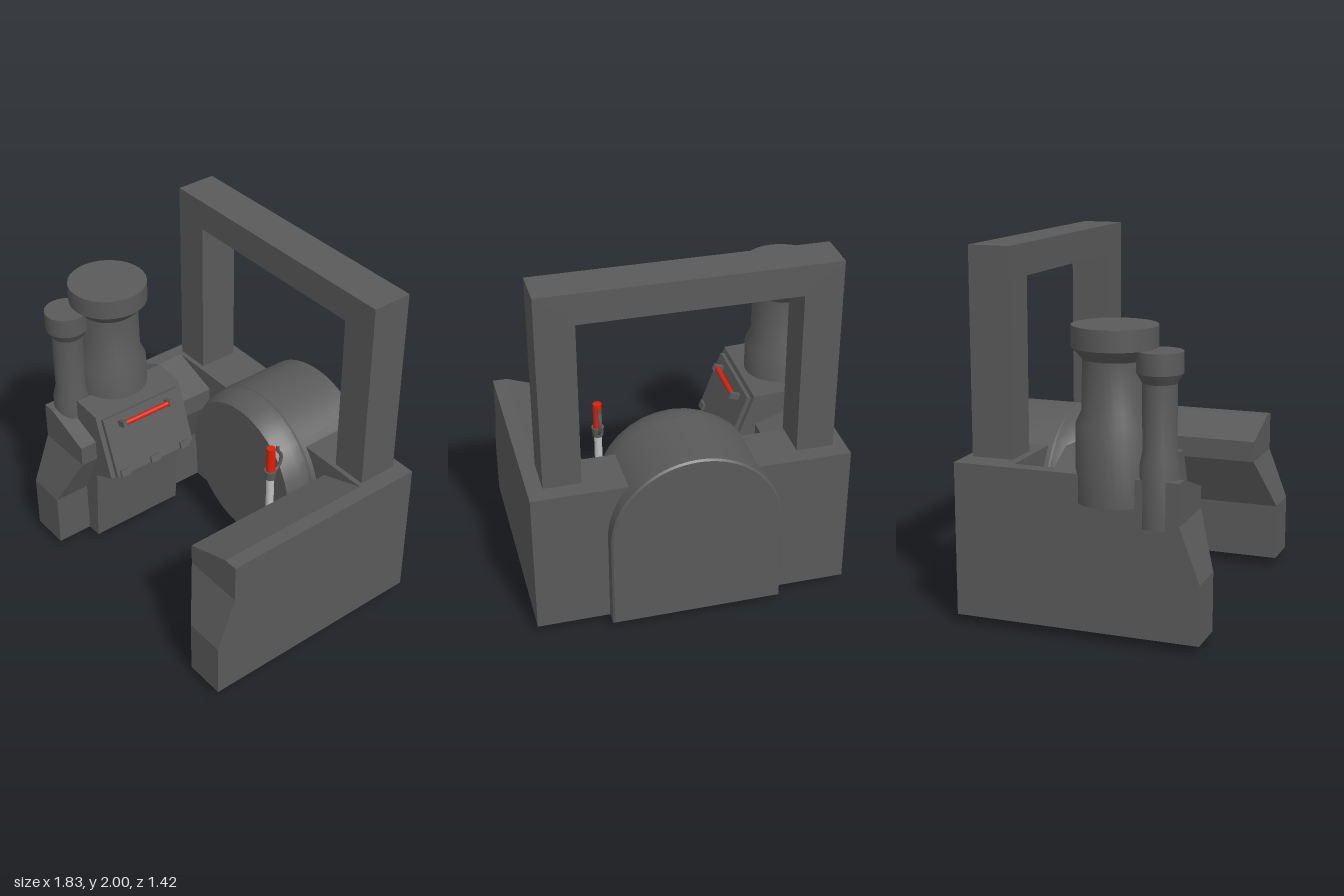
import * as THREE from 'three';
import { toCreasedNormals } from 'three/addons/utils/BufferGeometryUtils.js';

export function createModel() {
  const model = new THREE.Group();
  const dark = new THREE.MeshStandardMaterial({ color: 0x5a5a5a });
  dark.name = 'dark grey';
  const red = new THREE.MeshStandardMaterial({ color: 0xdc200a });
  red.name = 'red';
  const steel = new THREE.MeshStandardMaterial({ color: 0xc0c0c0 });
  steel.name = 'light steel';

  const add = (name, geometry, material = dark, parent = model) => {
    const mesh = new THREE.Mesh(geometry, material);
    mesh.name = name;
    parent.add(mesh);
    return mesh;
  };
  // box given by its extents
  const box = (name, x0, x1, y0, y1, z0, z1, material = dark, parent = model) =>
    add(name, new THREE.BoxGeometry(x1 - x0, y1 - y0, z1 - z0)
      .translate((x0 + x1) / 2, (y0 + y1) / 2, (z0 + z1) / 2), material, parent);
  const vec = (pts) => pts.map(([x, y]) => new THREE.Vector2(x, y));
  // outline in x/y drawn out from z0 to z1
  const prism = (pts, z0, z1) => new THREE.ExtrudeGeometry(new THREE.Shape(vec(pts)),
    { depth: z1 - z0, bevelEnabled: false }).translate(0, 0, z0);
  const lathe = (pts, sides) => toCreasedNormals(new THREE.LatheGeometry(vec(pts), sides), 0.5);

  // side walls: three stacked bands, the front leaning back as it rises
  const midX = 0.04;
  const bands = [
    [[0.68, 0.05], [0.91, 0.05], [0.91, 0.37], [0.68, 0.37]],
    [[0.68, 0.37], [0.91, 0.37], [0.91, 0.66], [0.55, 0.66]],
    [[0.55, 0.66], [0.91, 0.66], [0.91, 0.88], [0.83, 0.88], [0.55, 0.78]],
  ];
  for (const [name, side] of [['leftWall', 1], ['rightWall', -1]]) {
    const wall = new THREE.Group();
    wall.name = name;
    model.add(wall);
    for (const band of bands) {
      const pts = band.map(([x, y]) => [midX + side * (x - midX), y]);
      const g = prism(pts, -0.4, 0.71);
      const p = g.attributes.position;
      for (let i = 0; i < p.count; i++) {
        if (p.getZ(i) > 0 && p.getY(i) > 0.5) p.setZ(i, 0.6);
      }
      g.computeVertexNormals();
      add('wallBand', g, dark, wall);
    }
  }
  box('backWall', -0.83, 0.91, 0.05, 0.88, -0.63, -0.32);

  // arched casing at the back
  const arch = new THREE.Shape();
  arch.moveTo(-0.43, 0.05);
  arch.lineTo(0.51, 0.05);
  arch.lineTo(0.51, 0.57);
  arch.absarc(midX, 0.57, 0.47, 0, Math.PI, false);
  arch.closePath();
  add('archedCasing', toCreasedNormals(new THREE.ExtrudeGeometry(arch, {
    depth: 0.41, bevelEnabled: true, bevelThickness: 0.01, bevelSize: 0.01,
    bevelOffset: -0.01, bevelSegments: 1, curveSegments: 20,
  }).translate(0, 0, -0.705), 0.5));

  // round drum on the front of the casing
  const drum = add('drum', lathe([[0.455, -0.3], [0.455, -0.22], [0.43, -0.16], [0.42, -0.14], [0, -0.14]], 32));
  drum.rotation.x = Math.PI / 2;
  drum.position.set(midX, 0.58, 0);

  // overhead frame
  add('overheadFrame', prism([
    [-0.75, 0.9], [-0.545, 0.9], [-0.545, 1.83], [0.625, 1.83],
    [0.625, 0.9], [0.83, 0.9], [0.83, 2], [-0.75, 2],
  ], -0.56, -0.33));

  // two capped towers
  const largeTower = add('largeTower', lathe([
    [0, 0.73], [0.2, 0.73], [0.2, 1.13], [0.168, 1.2], [0.165, 1.46], [0.22, 1.52], [0.22, 1.63], [0, 1.63],
  ], 32));
  largeTower.position.set(-0.7, 0, 0.215);
  const smallTower = add('smallTower', lathe([
    [0, 0.63], [0.105, 0.63], [0.105, 0.95], [0.088, 1.02], [0.088, 1.36], [0.118, 1.41], [0.118, 1.52], [0, 1.52],
  ], 24));
  smallTower.position.set(-0.745, 0, 0.468);

  // console leaning inward from the right wall
  add('console', prism([
    [-0.7, 0.05], [-0.51, 0.05], [-0.48, 0.53], [-0.33, 0.6],
    [-0.46, 0.96], [-0.64, 0.97], [-0.82, 0.88], [-0.82, 0.6],
  ], -0.08, 0.5));

  // sloping hatch with hinges and a red grab bar
  const hatch = new THREE.Group();
  hatch.name = 'hatch';
  hatch.position.set(-0.39, 0.77, 0.21);
  hatch.rotation.z = 0.355;
  model.add(hatch);
  box('hatchPlate', -0.01, 0.025, -0.18, 0.175, -0.26, 0.26, dark, hatch);
  for (const z of [-0.21, 0, 0.21]) {
    box('hinge', 0.015, 0.04, -0.185, -0.145, -0.03, 0.03, dark, hatch).position.z = z;
  }
  for (const z of [-0.16, 0.16]) {
    box('barBracket', 0.02, 0.085, 0.105, 0.14, -0.012, 0.012, dark, hatch).position.z = z;
  }
  add('grabBar', new THREE.CylinderGeometry(0.015, 0.015, 0.3, 12)
    .rotateX(Math.PI / 2).translate(0.062, 0.122, 0), red, hatch);

  // lever with its pedestal
  const lever = new THREE.Group();
  lever.name = 'lever';
  lever.position.set(0.427, 0, -0.035);
  model.add(lever);
  box('pedestal', 0.31, 0.57, 0.02, 0.14, -0.46, 0.12);
  box('pedestalPlate', -0.07, 0.075, 0.14, 0.17, -0.1, 0.1, dark, lever);
  add('leverBoot', new THREE.CylinderGeometry(0.032, 0.045, 0.05, 12).translate(0, 0.195, 0), dark, lever);
  add('leverTip', new THREE.CylinderGeometry(0.04, 0.015, 0.03, 12).translate(0, 0.015, 0), dark, lever);
  add('leverShaft', new THREE.CylinderGeometry(0.022, 0.022, 0.64, 16).translate(0, 0.53, 0), steel, lever);
  add('leverCollar', new THREE.CylinderGeometry(0.035, 0.03, 0.055, 12).translate(0, 0.855, 0), dark, lever);
  add('leverGrip', new THREE.CylinderGeometry(0.025, 0.025, 0.15, 16).translate(0, 0.957, 0), red, lever);
  // bent trigger behind the grip
  const bend = new THREE.CatmullRomCurve3([
    [0.85, -0.02], [0.88, -0.055], [0.92, -0.072], [0.96, -0.07], [0.99, -0.05], [1.03, -0.047],
  ].map(([y, z]) => new THREE.Vector3(0, y, z)));
  add('trigger', new THREE.TubeGeometry(bend, 14, 0.01, 6), dark, lever);

  return model;
}
